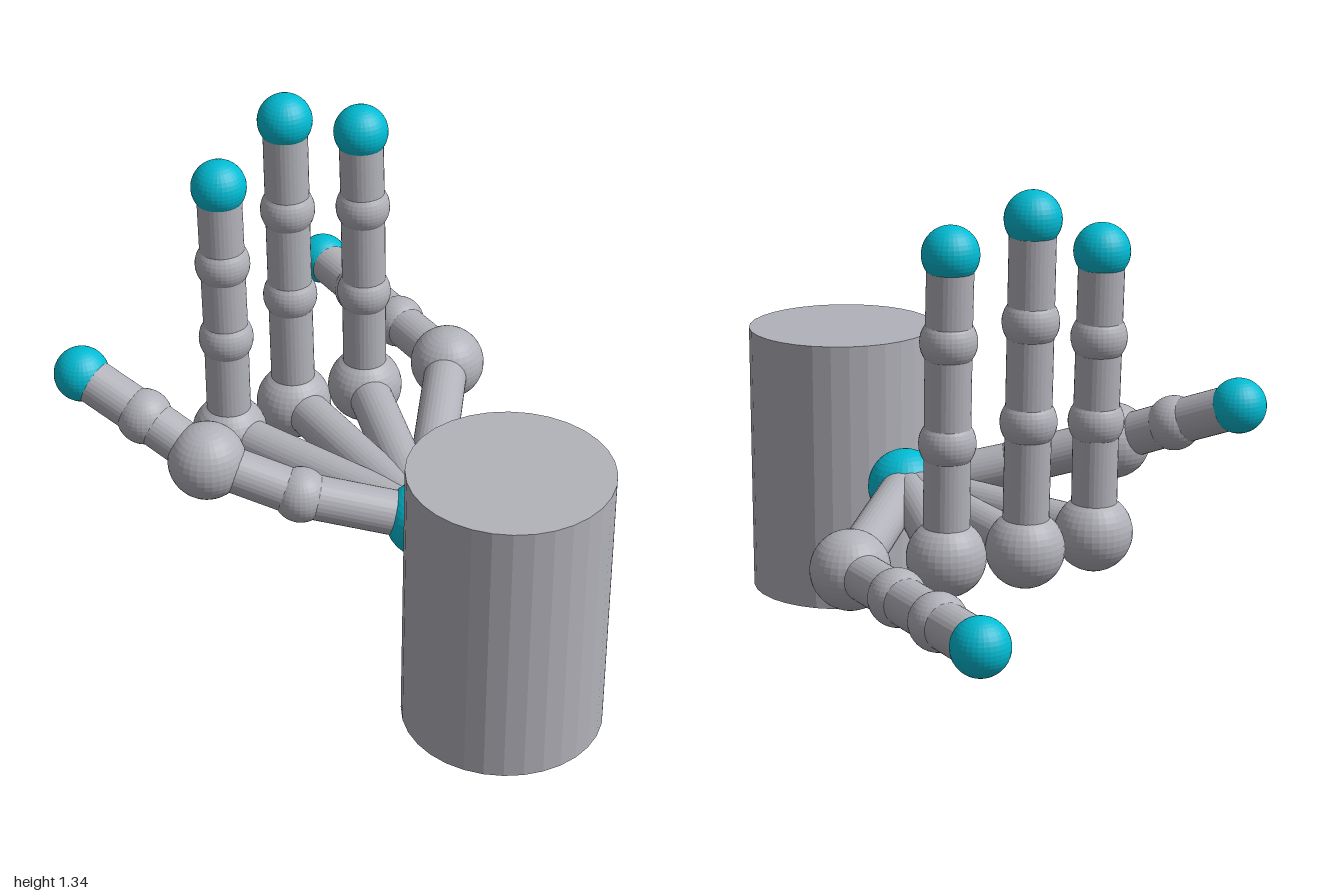
import * as THREE from 'three';

const grey = new THREE.MeshStandardMaterial({ color: 0xb2b2ba, flatShading: true });
grey.name = 'grey';
const cyan = new THREE.MeshStandardMaterial({ color: 0x00bcd4, flatShading: true });
cyan.name = 'cyan';

const JOINT = 0.075, KNUCKLE = 0.105, BONE = 0.061;

function ball(name, p, radius, material) {
  const mesh = new THREE.Mesh(new THREE.SphereGeometry(radius, 32, 20), material);
  mesh.name = name;
  mesh.position.copy(p);
  return mesh;
}

function bone(name, a, b) {
  const mesh = new THREE.Mesh(new THREE.CylinderGeometry(BONE, BONE, a.distanceTo(b), 32), grey);
  mesh.name = name;
  mesh.position.lerpVectors(a, b, 0.5);
  mesh.quaternion.setFromUnitVectors(new THREE.Vector3(0, 1, 0), b.clone().sub(a).normalize());
  return mesh;
}

export function createModel() {
  const hand = new THREE.Group();
  hand.name = 'hand';

  // Forearm block in front of the wrist
  const arm = new THREE.Mesh(new THREE.CylinderGeometry(0.267, 0.267, 0.77, 32), grey);
  arm.name = 'armCylinder';
  arm.position.set(0.066, 0.385, 0.732);
  hand.add(arm);

  const wrist = new THREE.Vector3(0.066, 0.387, 0.35);
  hand.add(ball('wrist', wrist, KNUCKLE, cyan));

  // Joints of each digit, from the wrist outwards; "big" is the index of the knuckle
  const digits = {
    thumb: { big: 1, joints: [[-0.21, 0.463, 0.172], [-0.396, 0.541, 0], [-0.488, 0.618, -0.169], [-0.583, 0.693, -0.338]] },
    indexFinger: { big: 0, joints: [[-0.165, 0.387, -0.279], [-0.165, 0.695, -0.287], [-0.165, 0.924, -0.298], [-0.165, 1.154, -0.309]] },
    middleFinger: { big: 0, joints: [[0.066, 0.387, -0.315], [0.066, 0.733, -0.33], [0.066, 1.0, -0.34], [0.066, 1.268, -0.35]] },
    ringFinger: { big: 0, joints: [[0.281, 0.387, -0.279], [0.281, 0.695, -0.287], [0.281, 0.963, -0.296], [0.281, 1.191, -0.308]] },
    littleFinger: { big: 0, joints: [[0.544, 0.387, -0.25], [0.544, 0.387, -0.506], [0.544, 0.387, -0.717], [0.544, 0.387, -0.926]] },
  };

  for (const [name, { big, joints }] of Object.entries(digits)) {
    const digit = new THREE.Group();
    digit.name = name;
    let previous = wrist;
    joints.forEach((xyz, i) => {
      const p = new THREE.Vector3(...xyz);
      const tip = i === joints.length - 1;
      digit.add(bone(`bone${i + 1}`, previous, p));
      digit.add(ball(tip ? 'fingertip' : i === big ? 'knuckle' : `joint${i + 1}`,
        p, i === big ? KNUCKLE : JOINT, tip ? cyan : grey));
      previous = p;
    });
    hand.add(digit);
  }
  return hand;
}
